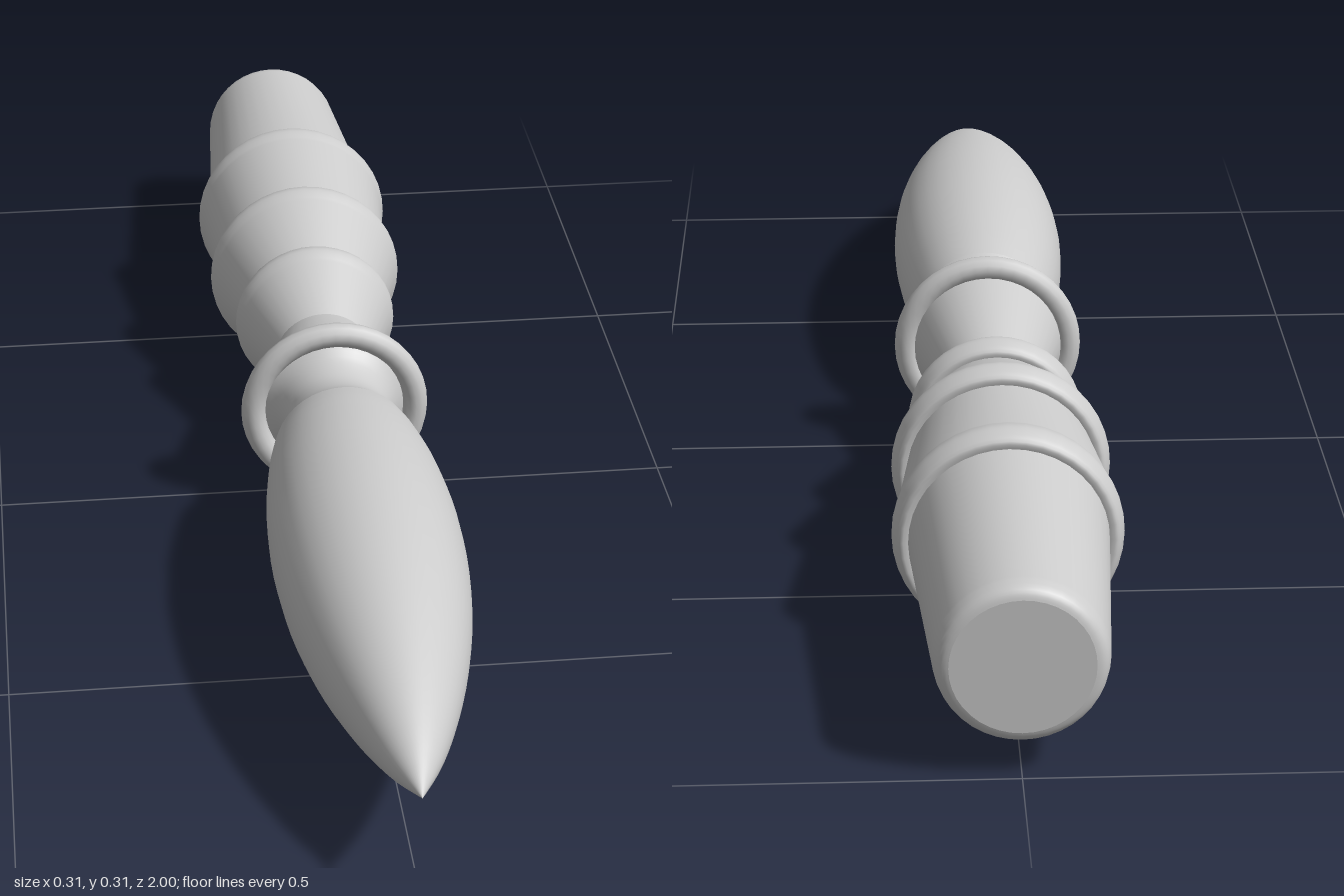
import * as THREE from 'three';

const material = new THREE.MeshStandardMaterial({ color: 0xcccccc });
const SIDES = 40;
const AXIS_HEIGHT = 0.154;

// Turned part around the z axis; pairs are [z, radius], from back to front
function turned(name, pairs) {
  const points = pairs.map(([z, r]) => new THREE.Vector2(r, z));
  const geometry = new THREE.LatheGeometry(points, SIDES);
  geometry.rotateX(Math.PI / 2);
  const mesh = new THREE.Mesh(geometry, material);
  mesh.name = name;
  return mesh;
}

// Smooth profile through a few [z, radius] points
function smooth(pairs, steps) {
  const curve = new THREE.SplineCurve(pairs.map(([z, r]) => new THREE.Vector2(z, r)));
  return curve.getPoints(steps).map((p) => [p.x, Math.max(p.y, 0)]);
}

// Rounded rim: half an ellipse from the back root radius to the front root radius
function rim(zBack, rBack, zFront, rFront, rPeak) {
  return smooth([
    [zBack, rBack],
    [zBack - 0.001, rBack + (rPeak - rBack) * 0.55],
    [zBack * 0.7 + zFront * 0.3, rPeak - 0.002],
    [zBack * 0.4 + zFront * 0.6, rPeak],
    [zFront, rFront],
  ], 12);
}

export function createModel() {
  const body = new THREE.Group();
  body.name = 'knife';

  // Butt end: flat cap, rounded edge and tapered grip
  body.add(turned('buttCap', [[-1, 0], [-1, 0.09]]));
  body.add(turned('gripEnd', [
    ...smooth([[-1, 0.09], [-0.997, 0.098], [-0.989, 0.105], [-0.972, 0.109]], 8),
    [-0.65, 0.132],
  ]));

  // Stepped flaring handle sections, each ending in a rounded rim
  const sections = [
    { name: 'largeSection', back: -0.653, root: 0.13, peak: 0.153, shoulder: 0.148, front: -0.435, neck: 0.129 },
    { name: 'middleSection', back: -0.437, root: 0.127, peak: 0.15, shoulder: 0.142, front: -0.277, neck: 0.103 },
    { name: 'smallSection', back: -0.279, root: 0.1, peak: 0.123, shoulder: 0.114, front: -0.13, neck: 0.074 },
  ];
  for (const s of sections) {
    body.add(turned(s.name, [
      ...rim(s.back, s.root, s.back + 0.05, s.shoulder, s.peak),
      [s.front, s.neck],
    ]));
  }

  // Flared cup behind the guard
  body.add(turned('guardCup', [[-0.13, 0.074], [0.015, 0.11]]));

  // Ring guard
  const ring = new THREE.Mesh(new THREE.TorusGeometry(0.121, 0.018, 12, SIDES), material);
  ring.name = 'guardRing';
  ring.position.z = 0.025;
  body.add(ring);

  // Concave neck joining the guard to the blade
  body.add(turned('neck', smooth([
    [0.018, 0.11], [0.035, 0.092], [0.06, 0.081], [0.085, 0.079], [0.115, 0.086], [0.145, 0.1],
  ], 14)));

  // Round pointed blade
  body.add(turned('blade', smooth([
    [0.145, 0.1], [0.2, 0.113], [0.3, 0.127], [0.43, 0.133], [0.57, 0.125],
    [0.7, 0.104], [0.82, 0.073], [0.92, 0.038], [1, 0],
  ], 28)));

  body.position.y = AXIS_HEIGHT;
  const model = new THREE.Group();
  model.name = 'model';
  model.add(body);
  return model;
}
